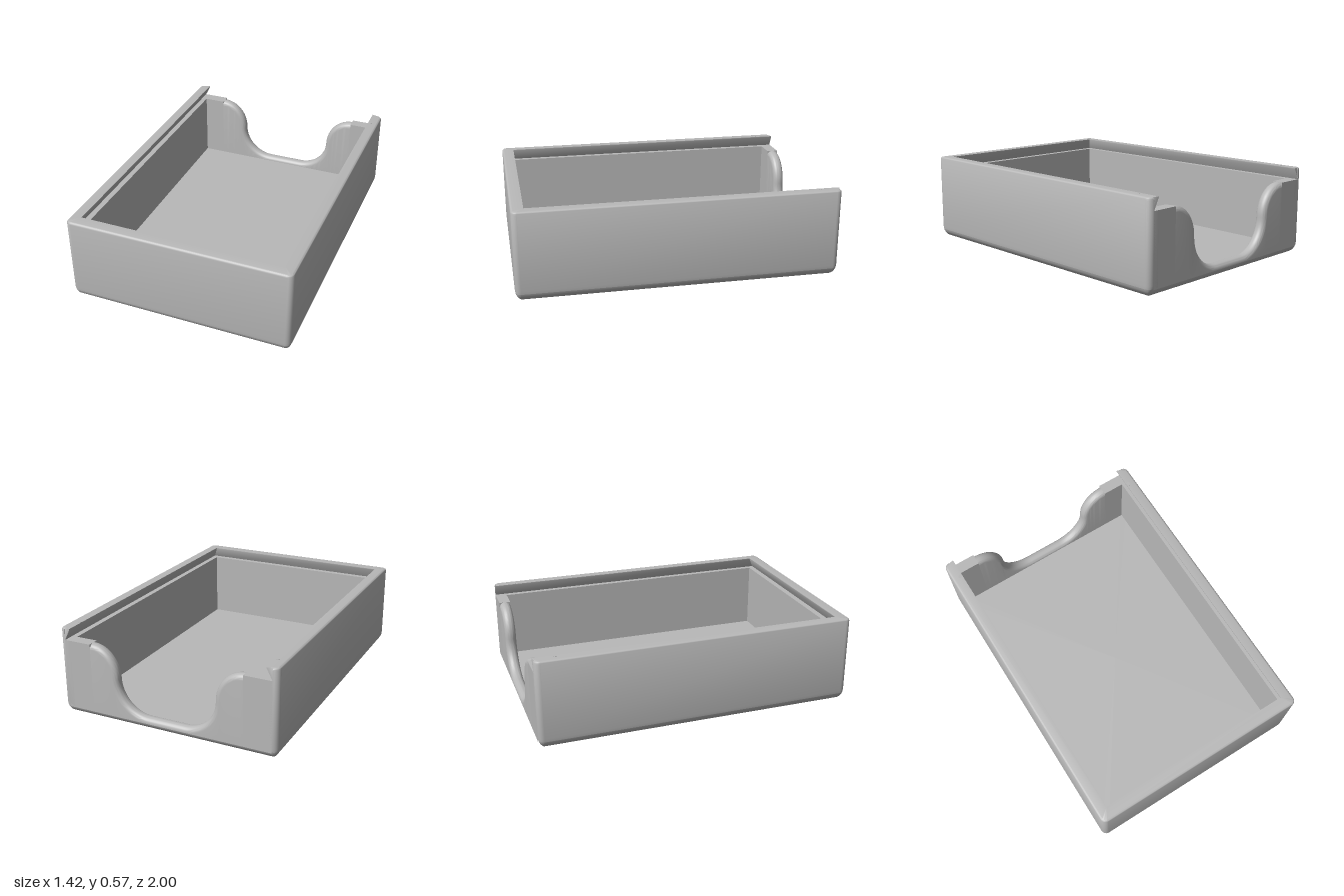
import * as THREE from 'three';
import { toCreasedNormals } from 'three/addons/utils/BufferGeometryUtils.js';

const HX = 0.71, HZ = 1, H = 0.565;   // half width, half depth, height
const R = 0.035;                      // vertical edge radius
const FLOOR = 0.055, LEDGE = 0.49, WALL = 0.07, BOTTOM_R = 0.075;

// Skin rows of points into a surface, with optional extra triangles
function skin(rows, extra = []) {
  const pos = [];
  const tri = (a, b, c) => pos.push(...a, ...b, ...c);
  for (let i = 0; i < rows.length - 1; i++) {
    for (let j = 0; j < rows[i].length - 1; j++) {
      const a = rows[i][j], b = rows[i][j + 1], c = rows[i + 1][j + 1], d = rows[i + 1][j];
      tri(a, b, c);
      tri(a, c, d);
    }
  }
  extra.forEach(t => tri(...t));
  const geo = new THREE.BufferGeometry();
  geo.setAttribute('position', new THREE.Float32BufferAttribute(pos, 3));
  return toCreasedNormals(geo, 0.6);
}

// Rounded rectangle inset by d at height y; open ones run straight out at the back
function ring(d, y, closed) {
  const pts = [], r = Math.max(R - d, 0), m = Math.max(R, d), steps = 6;
  for (let c = 0; c < 4; c++) {
    const front = c === 1 || c === 2;
    const cx = (c < 2 ? -1 : 1) * (HX - m);
    let cz = front ? HZ - m : -(HZ - m);
    if (!closed && d >= R) cz = front ? HZ - d * 1.1 : -HZ;
    for (let k = 0; k <= steps; k++) {
      const a = (270 - 90 * c - 90 * k / steps) * Math.PI / 180;
      pts.push([cx + r * Math.cos(a), y, cz + r * Math.sin(a)]);
    }
  }
  if (closed) pts.push(pts[0]);
  return pts;
}

// Floor slab with a rounded bottom edge
function baseGeometry() {
  const rows = [ring(0, 0, true).map(() => [0, 0, 0])];
  const end = Math.acos((BOTTOM_R - FLOOR) / BOTTOM_R);
  for (let i = 0; i <= 10; i++) {
    const a = end * i / 10;
    rows.push(ring(BOTTOM_R * (1 - Math.sin(a)), BOTTOM_R * (1 - Math.cos(a)), true));
  }
  rows.push(rows[0].map(() => [0, FLOOR, 0]));
  return skin(rows);
}

// Side and front walls in one sweep, with the dovetail lid groove
function wallsGeometry() {
  const profile = [[0.0027, FLOOR], [0, BOTTOM_R]];
  for (let i = 0; i <= 4; i++) {
    const a = Math.PI / 2 * i / 4;
    profile.push([0.015 * (1 - Math.cos(a)), H - 0.015 * (1 - Math.sin(a))]);
  }
  profile.push([WALL, H], [WALL, H - 0.006], [R, LEDGE], [WALL, LEDGE], [WALL, FLOOR]);
  const rows = profile.map(([d, y]) => ring(d, y, false));
  const rev = [...rows].reverse();
  const contour = [...profile].reverse().map(p => new THREE.Vector2(...p));
  const caps = [];
  for (const [a, b, c] of THREE.ShapeUtils.triangulateShape(contour, [])) {
    caps.push([rev[a][0], rev[c][0], rev[b][0]]);
    caps.push([a, b, c].map(i => rev[i][rev[i].length - 1]));
  }
  return skin(rows, caps);
}

// Back wall with a rounded-over finger notch
function backGeometry() {
  const half = [
    { x: HX - R, y: LEDGE, nx: 0, ny: 1, e: 0 },
    { x: 0.5, y: LEDGE, nx: 0, ny: 1, e: 0 },
  ];
  const arc = (cx, cy, rx, ry, from, to, sign) => {
    for (let i = 0; i <= 16; i++) {
      const a = from + (to - from) * i / 16, c = Math.cos(a), s = Math.sin(a);
      const n = new THREE.Vector2(c / rx, s / ry).normalize().multiplyScalar(sign);
      half.push({ x: cx + rx * c, y: cy + ry * s, nx: n.x, ny: n.y, e: 0.033 });
    }
  };
  arc(0.5, 0.29, 0.18, 0.2, Math.PI / 2, Math.PI, 1);
  arc(0.12, 0.29, 0.2, 0.205, 0, -Math.PI / 2, -1);
  const mirrored = [...half].reverse().map(p => ({ ...p, x: -p.x, nx: -p.nx }));
  const samples = [...half, ...mirrored];

  const z0 = -HZ, z1 = -HZ + 0.073;
  const rows = [];
  const addRow = (drop, z, inset, bottom) => rows.push(samples.map(p => {
    const k = p.e * drop;
    return [p.x - p.nx * k, bottom ? FLOOR - 0.005 : p.y - p.ny * k, z + inset * p.e];
  }));
  addRow(1, z0, 0, true);
  for (let i = 0; i <= 8; i++) {
    const a = Math.PI / 2 * i / 8;
    addRow(1 - Math.sin(a), z0, 1 - Math.cos(a));
  }
  for (let i = 8; i >= 0; i--) {
    const a = Math.PI / 2 * i / 8;
    addRow(1 - Math.sin(a), z1, Math.cos(a) - 1);
  }
  addRow(1, z1, 0, true);
  return skin(rows);
}

export function createModel() {
  const model = new THREE.Group();
  model.name = 'slidingLidBox';
  const grey = new THREE.MeshStandardMaterial({ color: 0xb8b8b8, side: THREE.DoubleSide });
  grey.name = 'grey';
  const add = (name, geometry) => {
    const mesh = new THREE.Mesh(geometry, grey);
    mesh.name = name;
    model.add(mesh);
    return mesh;
  };

  add('base', baseGeometry());
  add('sideAndFrontWalls', wallsGeometry());
  add('backWall', backGeometry());

  // Small lid catches on the side rails
  for (const s of [1, -1]) {
    add(s > 0 ? 'leftCatch' : 'rightCatch', new THREE.CylinderGeometry(0.013, 0.013, 0.006, 16))
      .position.set(s * 0.654, H - 0.002, -0.87);
  }
  return model;
}
